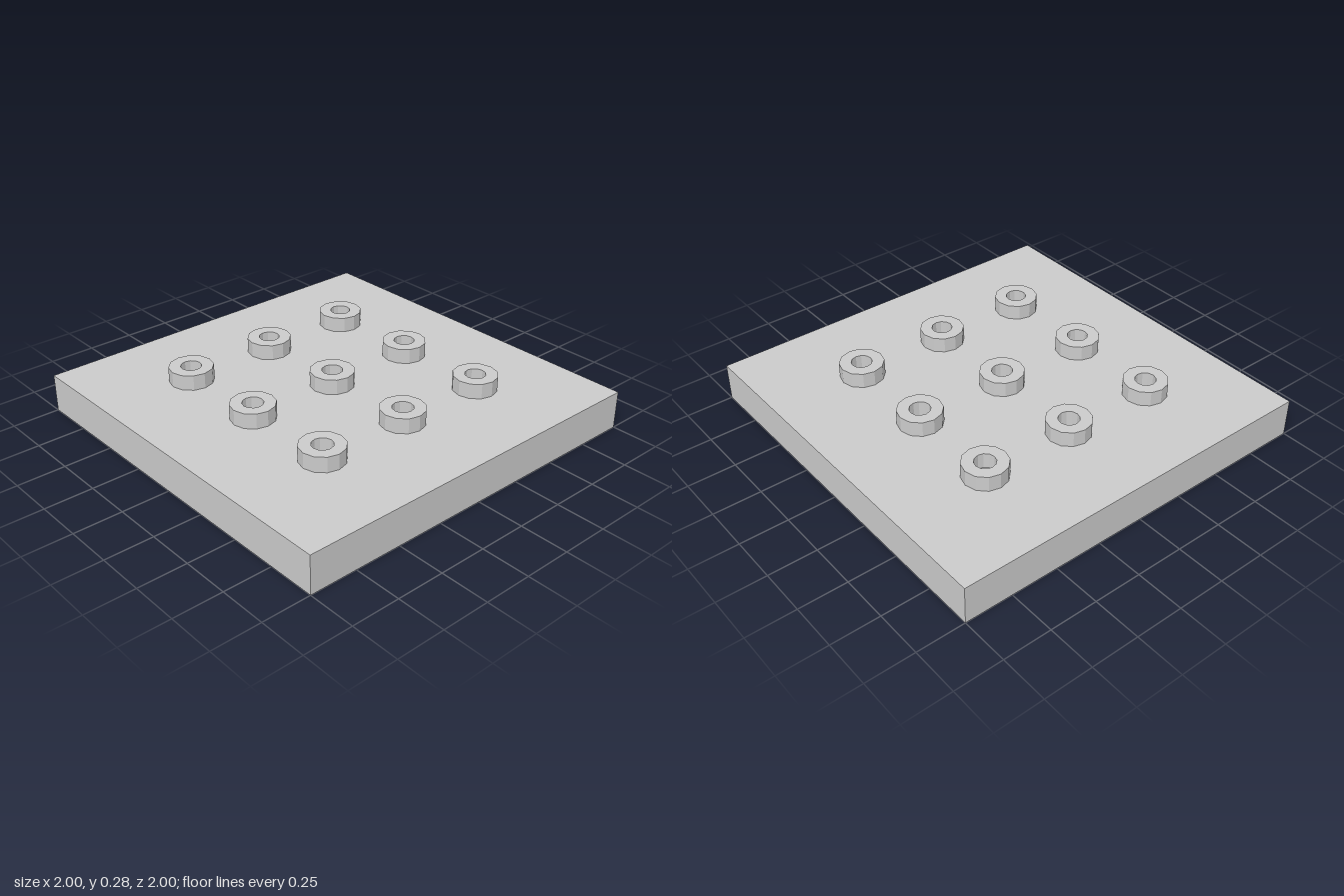
import * as THREE from 'three';

export function createModel() {
  const group = new THREE.Group();
  const material = new THREE.MeshStandardMaterial({ color: 0xcccccc, flatShading: true });

  // Square base plate
  const plateHeight = 0.2;
  const plate = new THREE.Mesh(new THREE.BoxGeometry(2, plateHeight, 2), material);
  plate.name = 'basePlate';
  plate.position.y = plateHeight / 2;
  group.add(plate);

  // Hollow twelve-sided stud: up the outside, across the rim, down the bore
  const outer = 0.114, inner = 0.053, height = 0.08;
  const profile = [[outer, 0], [outer, height], [inner, height], [inner, 0]]
    .map(([r, y]) => new THREE.Vector2(r, y));
  const studGeometry = new THREE.LatheGeometry(profile, 12);

  // Three by three grid of studs
  const studs = new THREE.Group();
  studs.name = 'studs';
  for (const x of [-0.5, 0, 0.5]) {
    for (const z of [-0.5, 0, 0.5]) {
      const stud = new THREE.Mesh(studGeometry, material);
      stud.name = 'stud';
      stud.position.set(x, plateHeight, z);
      studs.add(stud);
    }
  }
  group.add(studs);
  return group;
}
